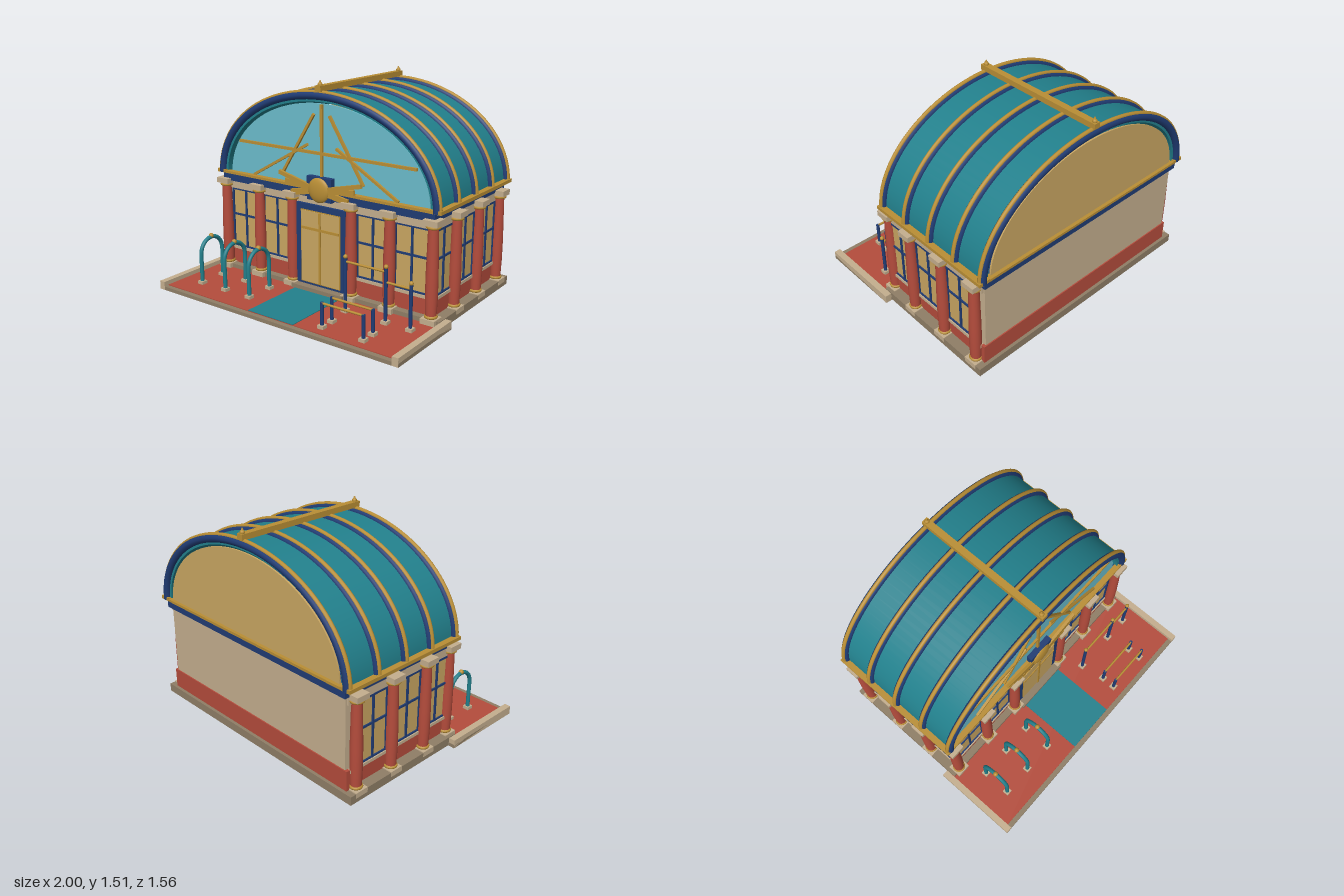
import * as THREE from 'three';
import { toCreasedNormals } from 'three/addons/utils/BufferGeometryUtils.js';

const mat = (name, color, side = THREE.FrontSide) => {
  const m = new THREE.MeshStandardMaterial({ color, side });
  m.name = name;
  return m;
};

export function createModel() {
  const root = new THREE.Group();
  root.name = 'archedHall';
  const red = mat('brickRed', 0xb44c3c), teal = mat('teal', 0x22808c), navy = mat('navy', 0x203c74);
  const gold = mat('gold', 0xb98e35), tan = mat('warmPane', 0xc9a662);
  const glass = mat('skyGlass', 0x6bbccb, THREE.DoubleSide);
  const cream = mat('creamStone', 0xc4ae8e), taupe = mat('taupeStone', 0x8f7e66);

  const add = (name, geo, m, x = 0, y = 0, z = 0, parent = root) => {
    const mesh = new THREE.Mesh(geo, m);
    mesh.name = name;
    mesh.position.set(x, y, z);
    parent.add(mesh);
    return mesh;
  };
  // box given by its min and max on each axis
  const box = (name, m, x0, x1, y0, y1, z0, z1, parent = root) =>
    add(name, new THREE.BoxGeometry(x1 - x0, y1 - y0, z1 - z0), m,
      (x0 + x1) / 2, (y0 + y1) / 2, (z0 + z1) / 2, parent);
  // straight bar between two points in a plane facing z
  const bar = (name, m, ax, ay, bx, by, z, t, d) => {
    const b = add(name, new THREE.BoxGeometry(Math.hypot(bx - ax, by - ay), t, d), m, (ax + bx) / 2, (ay + by) / 2, z);
    b.rotation.z = Math.atan2(by - ay, bx - ax);
    return b;
  };
  const cyl = (r0, r1, h, n = 16) => new THREE.CylinderGeometry(r1, r0, h, n);
  const ball = (r) => new THREE.SphereGeometry(r, 14, 10);

  // Ground: slab, forecourt paving, curbs and carpet
  box('forecourtSlab', taupe, -1, 1, 0, 0.025, 0.15, 0.78);
  box('buildingBase', taupe, -0.95, 0.95, 0, 0.06, -0.77, 0.22);
  box('paving', red, -0.955, 0.955, 0.01, 0.03, 0.2, 0.745);
  box('carpet', teal, -0.19, 0.19, 0.025, 0.034, 0.25, 0.745);
  box('doorStep', taupe, -0.22, 0.22, 0.01, 0.062, 0.2, 0.26);
  for (const s of [-1, 1]) {
    box('sideCurb', cream, Math.min(s * 0.955, s), Math.max(s * 0.955, s), 0, 0.06, 0.15, 0.781);
  }

  // Walls
  box('wallCore', cream, -0.87, 0.87, 0.06, 0.71, -0.74, 0.16);
  box('redDado', red, -0.878, 0.878, 0.06, 0.175, -0.735, 0.168);
  box('backDado', red, -0.89, 0.89, 0.06, 0.2, -0.748, -0.72);
  box('sill', cream, -0.895, 0.895, 0.175, 0.196, -0.72, 0.185);
  box('frieze', cream, -0.885, 0.885, 0.645, 0.706, -0.73, 0.185);
  box('entablature', navy, -0.89, 0.89, 0.705, 0.762, -0.765, 0.21);

  // Windows: pane with frame and cross bars
  const makeWindow = (x, z, w, turn) => {
    const g = new THREE.Group();
    g.name = 'window';
    const y0 = 0.196, y1 = 0.645, h = w / 2;
    box('pane', tan, -h, h, y0, y1, 0, 0.008, g);
    for (const u of [-h, 0, h]) box('mullion', navy, u - 0.007, u + 0.007, y0, y1, 0, 0.018, g);
    for (const v of [y0 + 0.004, 0.445, y1 - 0.007]) box('crossBar', navy, -h, h, v - 0.007, v + 0.007, 0, 0.017, g);
    g.position.set(x, 0, z);
    g.rotation.y = turn;
    root.add(g);
  };
  for (const s of [-1, 1]) {
    makeWindow(s * 0.71, 0.16, 0.25, 0);
    makeWindow(s * 0.41, 0.16, 0.25, 0);
    for (const [z, w] of [[0.07, 0.22], [-0.213, 0.24], [-0.52, 0.24]]) makeWindow(s * 0.87, z, w, s * Math.PI / 2);
  }

  // Columns with plinth, gold rings and capital block
  const shaft = new THREE.LatheGeometry(
    [[0.036, 0.07], [0.041, 0.2], [0.041, 0.35], [0.034, 0.67]].map(p => new THREE.Vector2(...p)), 18);
  const ring = new THREE.TorusGeometry(0.034, 0.011, 8, 18).rotateX(Math.PI / 2);
  const column = (x, z) => {
    const g = new THREE.Group();
    g.name = 'column';
    box('plinth', cream, -0.052, 0.052, 0.03, 0.066, -0.05, 0.05, g);
    add('shaft', shaft, red, 0, 0, 0, g);
    add('baseRing', ring, gold, 0, 0.076, 0, g);
    add('neckRing', ring, gold, 0, 0.672, 0, g).scale.set(1.1, 1, 1.1);
    box('capital', cream, -0.053, 0.053, 0.684, 0.722, -0.05, 0.05, g);
    g.position.set(x, 0, z);
    root.add(g);
  };
  for (const s of [-1, 1]) {
    for (const x of [0.25, 0.555, 0.875]) column(s * x, 0.197);
    for (const z of [-0.058, -0.367, -0.677]) column(s * 0.9, z);
  }

  // Door
  box('doorFrame', navy, -0.21, 0.21, 0.06, 0.65, 0.15, 0.205);
  box('doorTrim', gold, -0.168, 0.168, 0.078, 0.608, 0.2, 0.209);
  box('doorPane', tan, -0.162, 0.162, 0.084, 0.602, 0.205, 0.212);
  box('doorStile', gold, -0.008, 0.008, 0.084, 0.602, 0.205, 0.219);
  box('doorRail', gold, -0.162, 0.162, 0.47, 0.488, 0.205, 0.218);

  // Vault: half-elliptical shell, ribs, rails and ridge
  const EAVE = 0.762, N = 44;
  const arch = (a, b) => Array.from({ length: N + 1 }, (_, i) => {
    const t = Math.PI * i / N;
    return new THREE.Vector2(a * Math.cos(t), EAVE + b * Math.sin(t));
  });
  const shell = new THREE.Shape([...arch(0.9, 0.645), ...arch(0.855, 0.6).reverse()]);
  const shellGeo = new THREE.ExtrudeGeometry(shell, { depth: 0.955, bevelEnabled: false });
  add('roofShell', toCreasedNormals(shellGeo, 0.6), teal, 0, 0, -0.755);
  const archTube = (a, b, r) => new THREE.TubeGeometry(
    new THREE.CatmullRomCurve3(arch(a, b).map(p => new THREE.Vector3(p.x, p.y, 0))), 48, r, 10);
  const ribGeo = archTube(0.9, 0.642, 0.028), ribTrimGeo = archTube(0.921, 0.665, 0.0145);
  for (const z of [0.2, -0.038, -0.277, -0.516, -0.755]) {
    add('rib', ribGeo, navy, 0, 0, z);
    add('ribTrim', ribTrimGeo, gold, 0, 0, z);
  }
  for (const s of [-1, 1]) {
    add('eaveRail', new THREE.BoxGeometry(0.08, 0.024, 1), gold, s * 0.9, 0.772, -0.278);
  }
  box('frontRail', gold, -0.9, 0.9, 0.76, 0.778, 0.18, 0.222);
  box('backRail', gold, -0.9, 0.9, 0.76, 0.778, -0.778, -0.735);
  box('ridgeBeam', gold, -0.023, 0.023, 1.434, 1.473, -0.778, 0.228);
  for (const z of [0.2, -0.755]) {
    add('finialBall', ball(0.017), gold, 0, 1.478, z);
    add('finialTip', cyl(0.014, 0.004, 0.028, 10), gold, 0, 1.492, z);
  }

  // Gable panels: glazed front, solid back
  const gable = new THREE.ExtrudeGeometry(new THREE.Shape(arch(0.835, 0.587)), { depth: 0.012, bevelEnabled: false });
  add('frontGlass', gable, glass, 0, 0, 0.165);
  add('backGable', gable, tan, 0, 0, -0.755);
  box('glassPost', gold, -0.009, 0.009, 0.77, 1.345, 0.175, 0.195);
  box('glassTransom', gold, -0.74, 0.74, 1.002, 1.022, 0.175, 0.193);
  for (const s of [-1, 1]) {
    bar('glassStrut', gold, s * 0.61, 0.78, s * 0.12, 1.062, 0.184, 0.018, 0.02);
    bar('glassStrut', gold, s * 0.34, 0.84, s * 0.065, 1.275, 0.184, 0.018, 0.021);
  }

  // Emblem over the door: backing block, disc-like ball and feathers
  box('emblemBack', navy, -0.103, 0.103, 0.69, 0.855, 0.18, 0.222);
  add('emblemBall', new THREE.SphereGeometry(0.088, 24, 16), gold, 0, 0.766, 0.22).scale.z = 0.3;
  for (const s of [-1, 1]) {
    bar('feather', gold, s * 0.04, 0.775, s * 0.345, 0.848, 0.22, 0.028, 0.02);
    bar('feather', gold, s * 0.04, 0.765, s * 0.29, 0.795, 0.218, 0.034, 0.02);
    bar('feather', gold, s * 0.04, 0.755, s * 0.24, 0.72, 0.216, 0.04, 0.02);
  }

  // Hoop stands on the forecourt
  const foot = (x, z) => box('foot', cream, x - 0.023, x + 0.023, 0.028, 0.052, z - 0.023, z + 0.023);
  const hoopPts = [[-0.104, 0.03], [-0.104, 0.15], [-0.104, 0.25]];
  for (let i = 1; i < 8; i++) {
    const t = Math.PI * (1 - i / 8);
    hoopPts.push([0.104 * Math.cos(t), 0.25 + 0.104 * Math.sin(t)]);
  }
  hoopPts.push([0.104, 0.25], [0.104, 0.15], [0.104, 0.03]);
  const hoop = new THREE.TubeGeometry(
    new THREE.CatmullRomCurve3(hoopPts.map(([z, y]) => new THREE.Vector3(0, y, z))), 40, 0.0145, 10);
  for (const x of [-0.775, -0.55, -0.325]) {
    add('hoop', hoop, teal, x, 0, 0.48);
    add('hoopKnob', ball(0.018), gold, x, 0.362, 0.48);
    for (const z of [0.376, 0.584]) foot(x, z);
  }

  // Posts and rails on the forecourt
  const post = (x, z, h, knob) => {
    add('post', cyl(0.012, 0.012, h - 0.03, 12), navy, x, (h + 0.03) / 2, z);
    if (knob) add('postKnob', ball(0.015), gold, x, h, z);
    foot(x, z);
  };
  const rail = (x0, x1, y, z) =>
    add('rail', cyl(0.008, 0.008, x1 - x0, 10), gold, (x0 + x1) / 2, y, z).rotation.z = Math.PI / 2;
  post(0.337, 0.38, 0.415, true);
  post(0.65, 0.38, 0.415, true);
  post(0.835, 0.38, 0.348, true);
  rail(0.337, 0.65, 0.382, 0.38);
  rail(0.65, 0.835, 0.312, 0.38);
  for (const z of [0.565, 0.668]) {
    post(0.365, z, 0.205, false);
    post(0.68, z, 0.205, false);
    rail(0.365, 0.68, 0.198, z);
  }
  return root;
}
